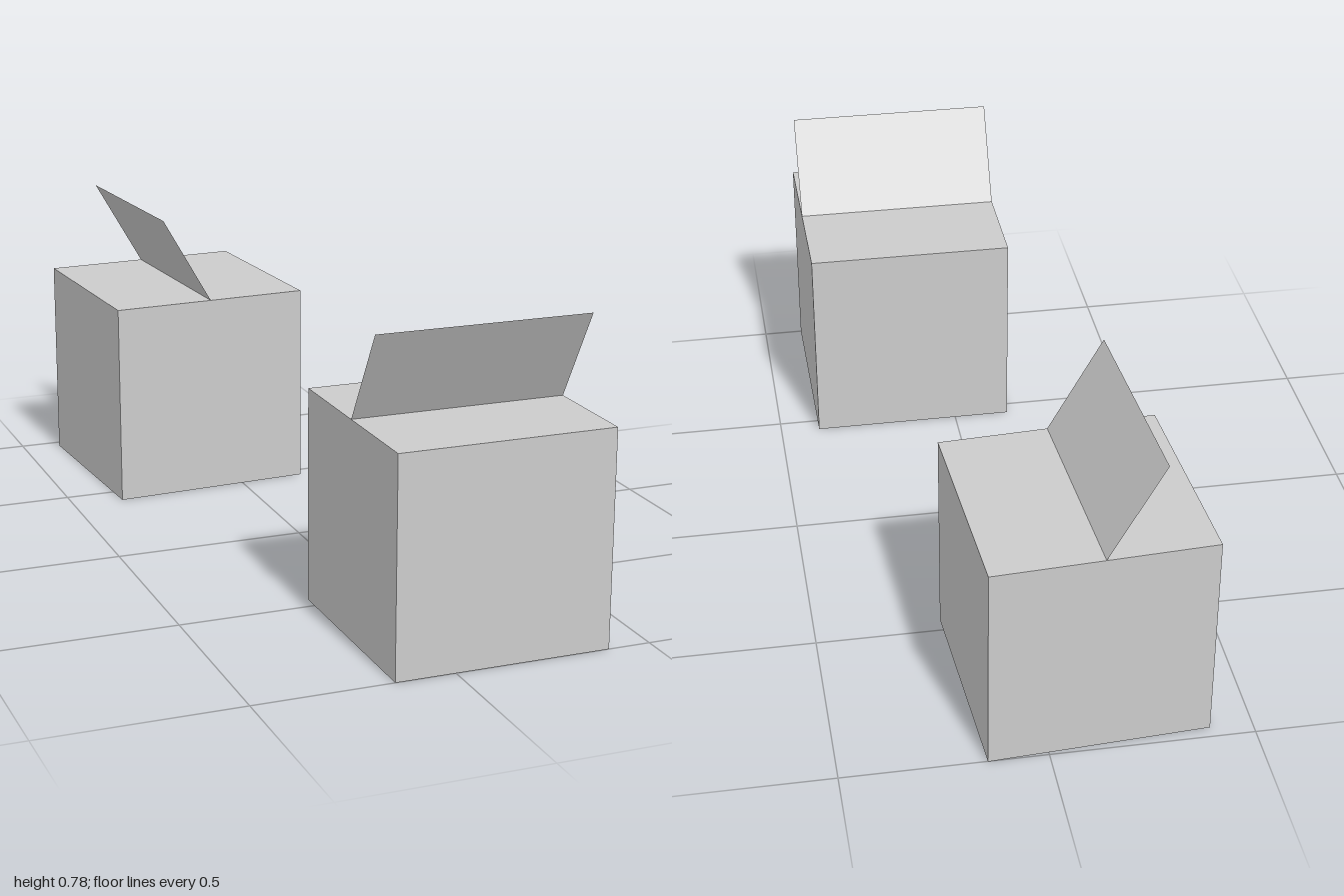
import * as THREE from 'three';

const SIZE = 0.544;
const FLAP_TILT = Math.PI / 6; // lean away from vertical

const material = new THREE.MeshStandardMaterial({ color: 0xcccccc, flatShading: true });
const thinMaterial = new THREE.MeshStandardMaterial({ color: 0xcccccc, flatShading: true, side: THREE.DoubleSide });

// Cube with a thin flap hinged along the middle of its top, leaning to local +z
function makeBox(name) {
  const box = new THREE.Group();
  box.name = name;

  const body = new THREE.Mesh(new THREE.BoxGeometry(SIZE, SIZE, SIZE), material);
  body.name = 'body';
  body.position.y = SIZE / 2;

  const flapGeometry = new THREE.PlaneGeometry(SIZE, SIZE / 2);
  flapGeometry.rotateY(Math.PI); // front of the sheet faces up once it leans
  flapGeometry.translate(0, SIZE / 4, 0);
  const flap = new THREE.Mesh(flapGeometry, thinMaterial);
  flap.name = 'flap';
  flap.position.y = SIZE;
  flap.rotation.x = FLAP_TILT;

  box.add(body, flap);
  return box;
}

export function createModel() {
  const model = new THREE.Group();
  model.name = 'boxes';

  const frontBox = makeBox('frontBox');
  frontBox.position.set(0.121, 0, 0.728);

  // Same box, turned almost a quarter so its flap leans to -x
  const backBox = makeBox('backBox');
  backBox.position.set(-0.108, 0, -0.713);
  backBox.rotation.y = THREE.MathUtils.degToRad(-86.5);

  model.add(frontBox, backBox);
  return model;
}
